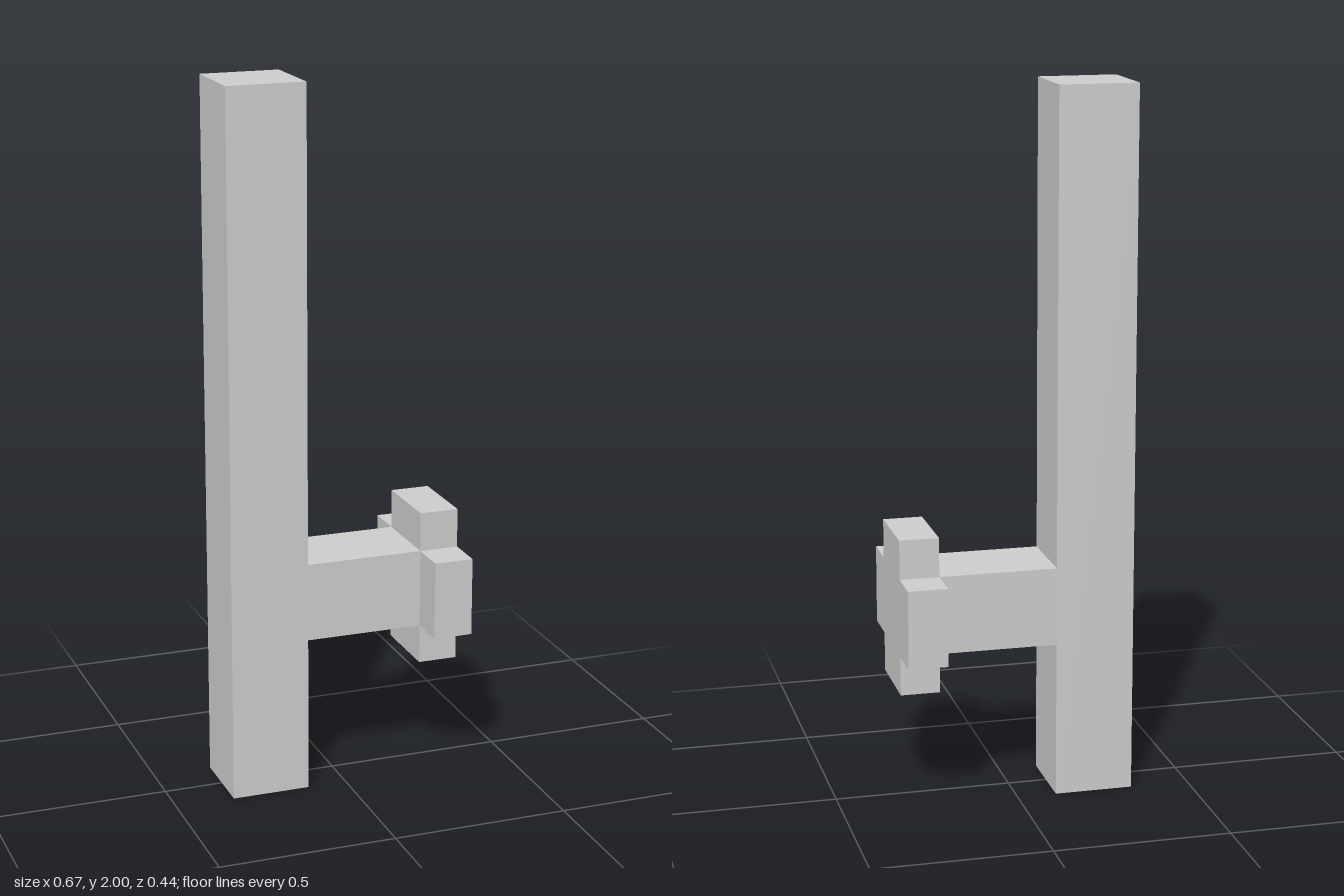
import * as THREE from 'three';

const U = 1 / 9; // every size is a whole number of these units
const material = new THREE.MeshStandardMaterial({ color: 0xcccccc, flatShading: true });

// Square bar given by its x and y ranges, in units
function bar(name, x0, x1, y0, y1) {
  const mesh = new THREE.Mesh(new THREE.BoxGeometry((x1 - x0) * U, (y1 - y0) * U, 2 * U), material);
  mesh.position.set((x0 + x1) / 2 * U, (y0 + y1) / 2 * U, 0);
  mesh.name = name;
  return mesh;
}

export function createModel() {
  const model = new THREE.Group();
  model.name = 'handledBaton';

  // Long shaft and the side grip
  model.add(bar('shaft', -3, -1, 0, 18), bar('grip', -1, 2, 4, 6));

  // Plus-shaped knob at the end of the grip
  const plus = [
    [-1, -2], [1, -2], [1, -1], [2, -1], [2, 1], [1, 1],
    [1, 2], [-1, 2], [-1, 1], [-2, 1], [-2, -1], [-1, -1],
  ].map(([x, y]) => new THREE.Vector2(x * U, y * U));
  const geometry = new THREE.ExtrudeGeometry(new THREE.Shape(plus), { depth: U, bevelEnabled: false });
  geometry.rotateY(Math.PI / 2);
  const knob = new THREE.Mesh(geometry, material);
  knob.position.set(2 * U, 5 * U, 0);
  knob.name = 'knob';
  model.add(knob);

  return model;
}
